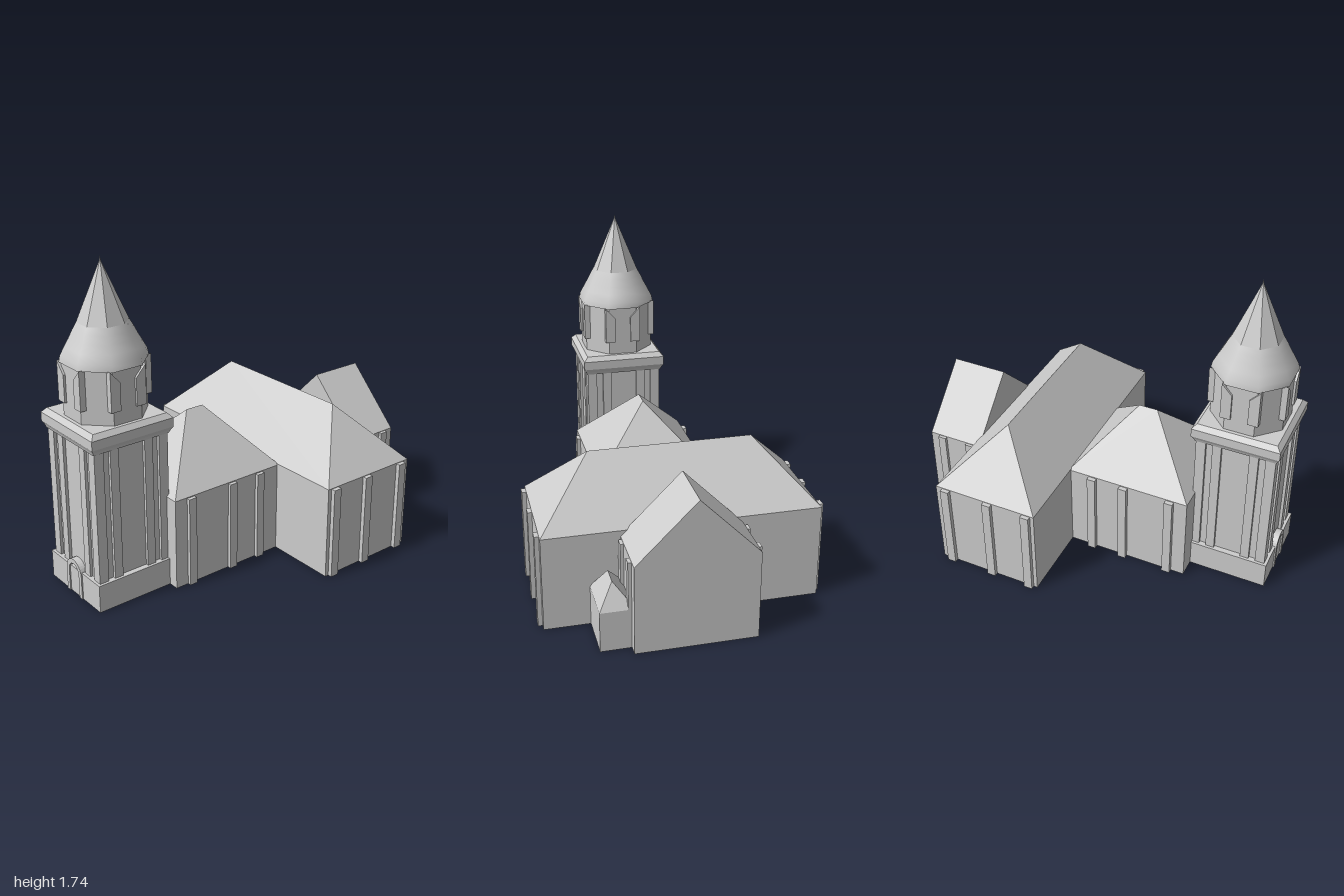
import * as THREE from 'three';
import { ConvexGeometry } from 'three/addons/geometries/ConvexGeometry.js';

export function createModel() {
  const model = new THREE.Group();
  const stone = new THREE.MeshStandardMaterial({ color: 0xcccccc });
  stone.name = 'paleGreyStone';

  const add = (name, geo, parent = model) => {
    const mesh = new THREE.Mesh(geo, stone);
    mesh.name = name;
    parent.add(mesh);
    return mesh;
  };
  const box = (name, x0, x1, y0, y1, z0, z1, parent = model) => {
    const mesh = add(name, new THREE.BoxGeometry(x1 - x0, y1 - y0, z1 - z0), parent);
    mesh.position.set((x0 + x1) / 2, (y0 + y1) / 2, (z0 + z1) / 2);
    return mesh;
  };

  // Rectangular hall with a roof rising to a ridge between two points [x, z]
  function hall(name, x0, x1, z0, z1, eave, top, ridgeA, ridgeB) {
    const group = new THREE.Group();
    group.name = name;
    model.add(group);
    box(name + 'Walls', x0, x1, 0, eave, z0, z1, group);
    const points = [[x0, z0], [x1, z0], [x1, z1], [x0, z1]].map(([x, z]) => new THREE.Vector3(x, eave, z));
    for (const [x, z] of [ridgeA, ridgeB]) points.push(new THREE.Vector3(x, top, z));
    add(name + 'Roof', new ConvexGeometry(points), group);
    return group;
  }

  // Wall buttresses on the front and back of a hall
  function buttresses(group, xs, width, z0, z1, height) {
    for (const x of xs) {
      box('backButtress', x - width / 2, x + width / 2, 0, height, z0, z0 + 0.04, group);
      box('frontButtress', x - width / 2, x + width / 2, 0, height, z1 - 0.04, z1, group);
    }
  }

  const nave = hall('nave', -0.565, 0.125, -0.295, 0.32, 0.5, 0.82, [-0.258, 0.012], [-0.155, 0.012]);
  buttresses(nave, [-0.468, -0.202, -0.018], 0.046, -0.32, 0.34, 0.495);
  const transept = hall('transept', 0.112, 0.7, -0.722, 0.715, 0.508, 0.813, [0.405, -0.43], [0.405, 0.425]);
  buttresses(transept, [0.157, 0.385, 0.638], 0.048, -0.745, 0.738, 0.505);
  const choir = hall('choir', 0.685, 1, -0.305, 0.32, 0.475, 0.79, [0.685, 0.008], [1, 0.008]);
  buttresses(choir, [0.745, 0.922], 0.046, -0.322, 0.338, 0.472);
  hall('porch', 0.69, 0.945, 0.3, 0.477, 0.215, 0.337, [0.765, 0.4], [0.868, 0.4]);

  // Tower, built around its own axis
  const tower = new THREE.Group();
  tower.name = 'tower';
  tower.position.set(-0.765, 0, 0.035);
  model.add(tower);

  // Flat-sided turned shape: profile holds [half width, height]
  function prism(name, profile, sides, smooth = false) {
    const k = 1 / Math.cos(Math.PI / sides);
    const pts = profile.map(([r, y]) => new THREE.Vector2(r * k, y));
    let geo = new THREE.LatheGeometry(pts, sides, Math.PI / sides);
    if (!smooth) {
      geo = geo.toNonIndexed();
      geo.computeVertexNormals();
    }
    return add(name, geo, tower);
  }

  box('towerBase', -0.228, 0.228, 0, 0.15, -0.228, 0.228, tower);
  box('towerShaft', -0.197, 0.197, 0.15, 0.88, -0.197, 0.197, tower);

  // Four pilasters on each side of the shaft
  for (let side = 0; side < 4; side++) {
    const face = new THREE.Group();
    face.name = 'pilasterRow';
    face.rotation.y = side * Math.PI / 2;
    tower.add(face);
    for (const s of [-1, 1]) {
      box('cornerPilaster', s * 0.187 - 0.026, s * 0.187 + 0.026, 0.15, 0.88, 0.16, 0.213, face);
      box('innerPilaster', s * 0.099 - 0.024, s * 0.099 + 0.024, 0.15, 0.88, 0.17, 0.213, face);
    }
  }

  // Cornice with a coved underside
  prism('cornice', [[0, 0.85], [0.218, 0.85], [0.224, 0.866], [0.235, 0.885], [0.235, 0.932], [0.212, 0.957], [0, 0.957]], 4);

  // Arched door frame on the outer side
  const arch = new THREE.Shape();
  arch.moveTo(-0.07, 0);
  arch.lineTo(-0.07, 0.13);
  arch.absarc(0, 0.13, 0.07, Math.PI, 0, true);
  arch.lineTo(0.07, 0);
  arch.lineTo(0.045, 0);
  arch.lineTo(0.045, 0.13);
  arch.absarc(0, 0.13, 0.045, 0, Math.PI, false);
  arch.lineTo(-0.045, 0);
  const door = add('doorFrame', new THREE.ExtrudeGeometry(arch, { depth: 0.035, bevelEnabled: false, curveSegments: 8 }), tower);
  door.rotation.y = -Math.PI / 2;
  door.position.x = -0.2;

  // Octagonal belfry with slope-topped piers
  prism('belfryDrum', [[0.193, 0.95], [0.193, 1.235]], 8);
  const pier = new THREE.Shape([[0.045, 1.03], [0.1, 1.03], [0.1, 1.235], [0.045, 1.175]].map(p => new THREE.Vector2(...p)));
  const mirrored = new THREE.Shape([[-0.1, 1.03], [-0.045, 1.03], [-0.045, 1.175], [-0.1, 1.235]].map(p => new THREE.Vector2(...p)));
  for (let side = 0; side < 4; side++) {
    for (const shape of [pier, mirrored]) {
      const geo = new THREE.ExtrudeGeometry(shape, { depth: 0.035, bevelEnabled: false });
      geo.translate(0, 0, 0.17);
      add('belfryPier', geo, tower).rotation.y = side * Math.PI / 2;
    }
  }

  // Curved bell roof and pointed spire
  prism('bellRoofUnderside', [[0, 1.23], [0.203, 1.23]], 8);
  prism('bellRoof', [[0.203, 1.23], [0.197, 1.262], [0.176, 1.305], [0.155, 1.345], [0.137, 1.385], [0.118, 1.42]], 8, true);
  prism('spire', [[0.118, 1.42], [0.004, 1.71], [0, 1.735]], 8);

  return model;
}
